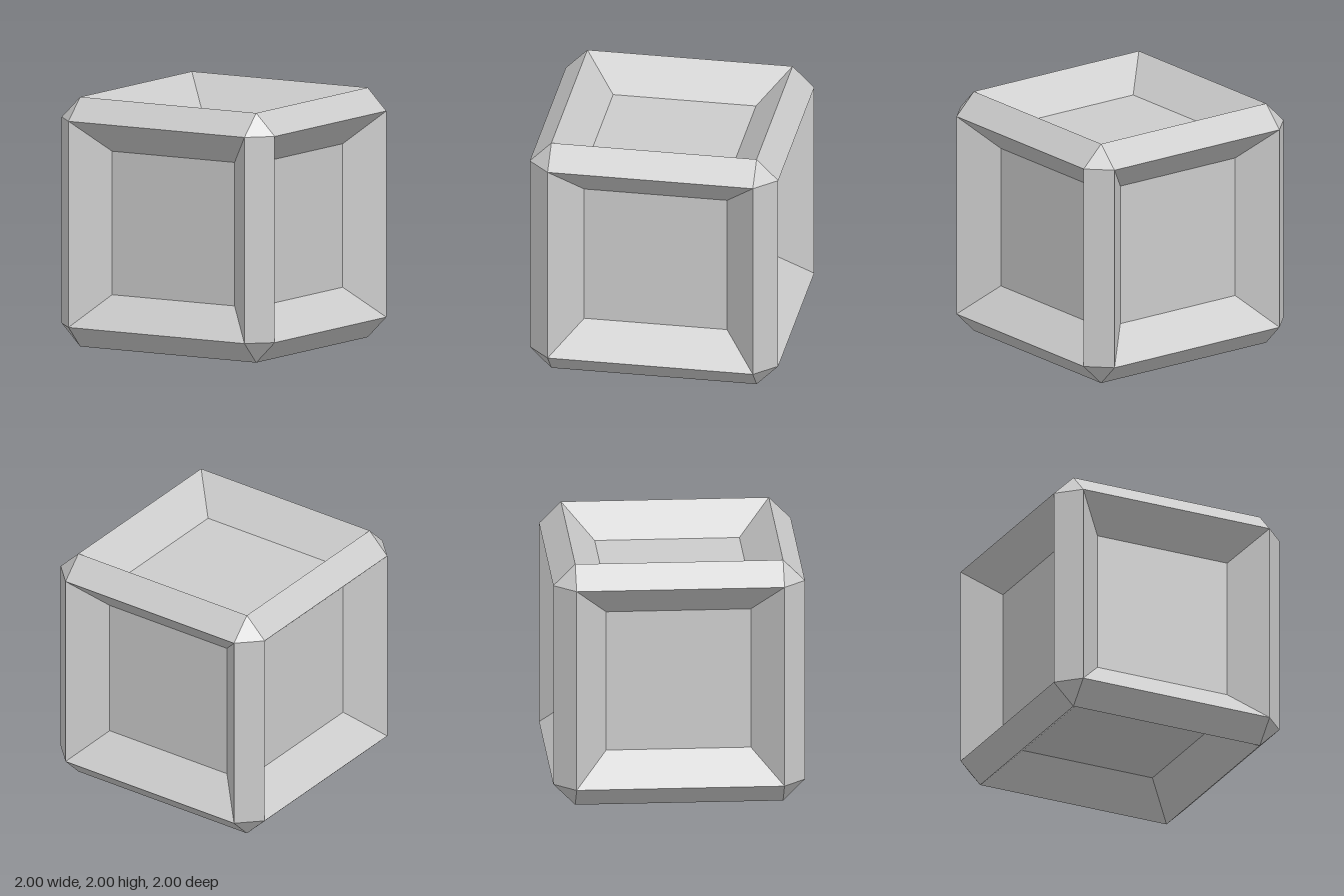
import * as THREE from 'three';

const A = 0.826;      // half width of the rim square on each side
const INNER = 0.575;  // half width of the recessed floor
const FLOOR = 0.75;   // distance of the recessed floor from the centre

const material = new THREE.MeshStandardMaterial({ color: 0xcccccc, flatShading: true });

// Flat polygons, each a counter-clockwise list of [x, y, z] corners
function polygons(list) {
  const pos = [];
  for (const p of list) {
    for (let i = 1; i < p.length - 1; i++) pos.push(...p[0], ...p[i], ...p[i + 1]);
  }
  const g = new THREE.BufferGeometry();
  g.setAttribute('position', new THREE.Float32BufferAttribute(pos, 3));
  g.computeVertexNormals();
  return g;
}

const square = (h, z) => [[-h, -h, z], [h, -h, z], [h, h, z], [-h, h, z]];

// Recessed side facing +z: floor and four sloping walls
function recessGeometry() {
  const outer = square(A, 1);
  const inner = square(INNER, FLOOR);
  const walls = outer.map((o, i) => {
    const j = (i + 1) % 4;
    return [o, outer[j], inner[j], inner[i]];
  });
  return polygons([inner, ...walls]);
}

export function createModel() {
  const model = new THREE.Group();
  model.name = 'recessedCube';
  const body = new THREE.Group();
  body.name = 'body';
  body.position.y = 1;
  model.add(body);

  const Q = Math.PI / 2;
  // Place a part tilted about x, then turned about y, in quarter turns
  function place(name, geometry, tilt, turn) {
    const mesh = new THREE.Mesh(geometry, material);
    mesh.name = name;
    mesh.rotation.set(tilt * Q, turn * Q, 0, 'YXZ');
    body.add(mesh);
  }

  const recess = recessGeometry();
  const edge = polygons([[[A, -A, 1], [1, -A, A], [1, A, A], [A, A, 1]]]);
  const corner = polygons([[[A, A, 1], [1, A, A], [A, 1, A]]]);

  // Six recessed sides
  ['front', 'left', 'back', 'right'].forEach((side, k) => place(side + 'Recess', recess, 0, k));
  place('topRecess', recess, -1, 0);
  place('bottomRecess', recess, 1, 0);

  // Twelve bevelled edges and eight cut corners
  for (let k = 0; k < 4; k++) {
    place('uprightEdge', edge, 0, k);
    place('topEdge', edge, -1, k);
    place('bottomEdge', edge, 1, k);
    place('topCorner', corner, 0, k);
    place('bottomCorner', corner, 2, k);
  }
  return model;
}
